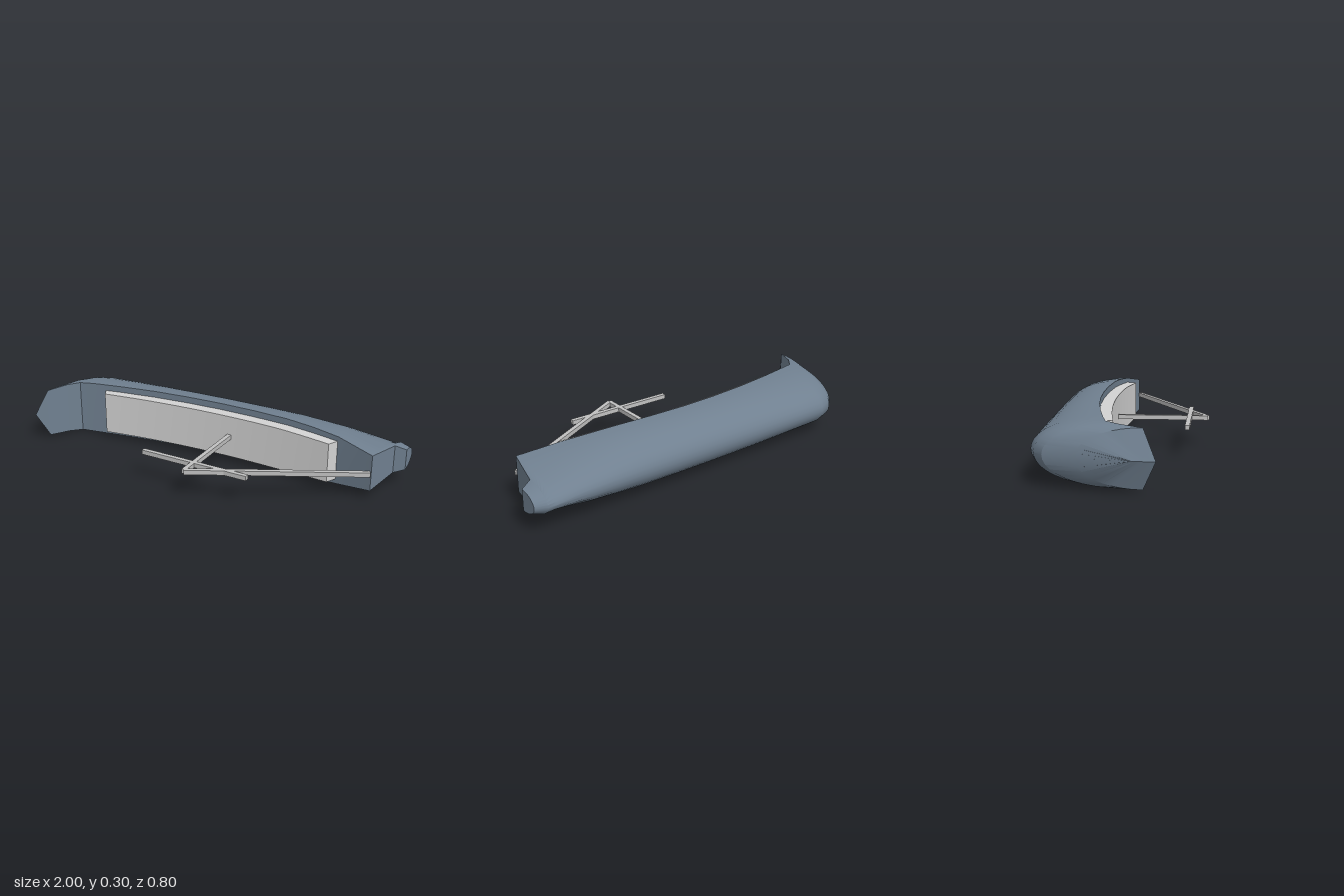
import * as THREE from 'three';
import { toCreasedNormals } from 'three/addons/utils/BufferGeometryUtils.js';

const MID = 0.15; // height of the centreline

// Joins closed rings of [x, y, z] points, ordered along +x, and caps both ends.
function loft(rings, crease) {
  const n = rings[0].length, index = [];
  for (let i = 0; i < rings.length - 1; i++) {
    for (let j = 0; j < n; j++) {
      const k = (j + 1) % n, a = i * n + j, b = a + n, d = i * n + k, c = d + n;
      index.push(a, b, c, a, c, d);
    }
  }
  const last = (rings.length - 1) * n;
  for (let j = 1; j < n - 1; j++) {
    index.push(0, j, j + 1, last, last + j + 1, last + j);
  }
  const g = new THREE.BufferGeometry();
  g.setAttribute('position', new THREE.Float32BufferAttribute(rings.flat(2), 3));
  g.setIndex(index);
  return toCreasedNormals(g, crease);
}

// Hull stations: x, half width, deck z, keel z
const stations = [
  [-1, 0, 0.173, 0.06],
  [-0.95, 0.135, 0.115, -0.18],
  [-0.9, 0.142, 0.005, -0.33],
  [-0.85, 0.145, -0.055, -0.375],
  [-0.77, 0.148, -0.074, -0.402],
  [-0.6, 0.149, -0.105, -0.402],
  [-0.4, 0.15, -0.133, -0.402],
  [-0.2, 0.15, -0.149, -0.402],
  [0, 0.15, -0.155, -0.402],
  [0.2, 0.15, -0.15, -0.402],
  [0.4, 0.149, -0.137, -0.402],
  [0.55, 0.142, -0.119, -0.402],
  [0.7, 0.13, -0.093, -0.402],
  [0.9, 0.095, -0.035, -0.4],
  [0.945, 0.075, -0.245, -0.395],
  [1, 0.055, -0.268, -0.37],
];

function hullRing([x, w, deck, keel]) {
  const ring = [];
  for (let j = 0; j <= 20; j++) {
    const t = (j / 20) * Math.PI;
    ring.push([x, MID + w * Math.cos(t), deck - (deck - keel) * Math.sin(t)]);
  }
  return ring;
}

// Deck z at any x
function deckAt(x) {
  const i = Math.max(1, stations.findIndex((s) => s[0] >= x));
  const a = stations[i - 1], b = stations[i];
  return THREE.MathUtils.lerp(a[2], b[2], (x - a[0]) / (b[0] - a[0]));
}

function cabinRing(u) {
  const back = u * 0.7, front = u * 0.67;
  const w = 0.115 - 0.01 * THREE.MathUtils.clamp((back - 0.4) / 0.3, 0, 1);
  const zb = deckAt(back) - 0.008, zf = -0.09 + 0.05 * u * u;
  return [
    [front, MID + w, zf], [back, MID + w, zb],
    [back, MID - w, zb], [front, MID - w, zf],
  ];
}

export function createModel() {
  const group = new THREE.Group();
  const hullBlue = new THREE.MeshStandardMaterial({ color: 0x708090, name: 'hullBlue' });
  const cabinGrey = new THREE.MeshStandardMaterial({ color: 0xd3d3d3, name: 'cabinGrey' });
  const sparGrey = new THREE.MeshStandardMaterial({ color: 0xc0c0c0, name: 'sparGrey' });

  function add(name, geometry, material) {
    const mesh = new THREE.Mesh(geometry, material);
    mesh.name = name;
    group.add(mesh);
    return mesh;
  }

  // Rounded hull with a flat, sheered deck and a stepped stern
  add('hull', loft(stations.map(hullRing), 0.5), hullBlue);

  // Low curved cabin following the deck
  const cabinRings = [];
  for (let i = 0; i <= 16; i++) cabinRings.push(cabinRing(i / 8 - 1));
  add('cabin', loft(cabinRings, 0.4), cabinGrey);

  // Square bar between two points of the centre plane
  function bar(name, x1, z1, x2, z2) {
    const length = Math.hypot(x2 - x1, z2 - z1);
    const mesh = add(name, new THREE.BoxGeometry(length, 0.024, 0.024), sparGrey);
    mesh.position.set((x1 + x2) / 2, MID, (z1 + z2) / 2);
    mesh.rotation.y = -Math.atan2(z2 - z1, x2 - x1);
  }
  bar('mast', 0.09, -0.12, 0.09, 0.39);
  bar('yard', -0.21, 0.287, 0.39, 0.3);
  bar('backstay', 0.09, 0.388, 0.897, -0.027);
  return group;
}
